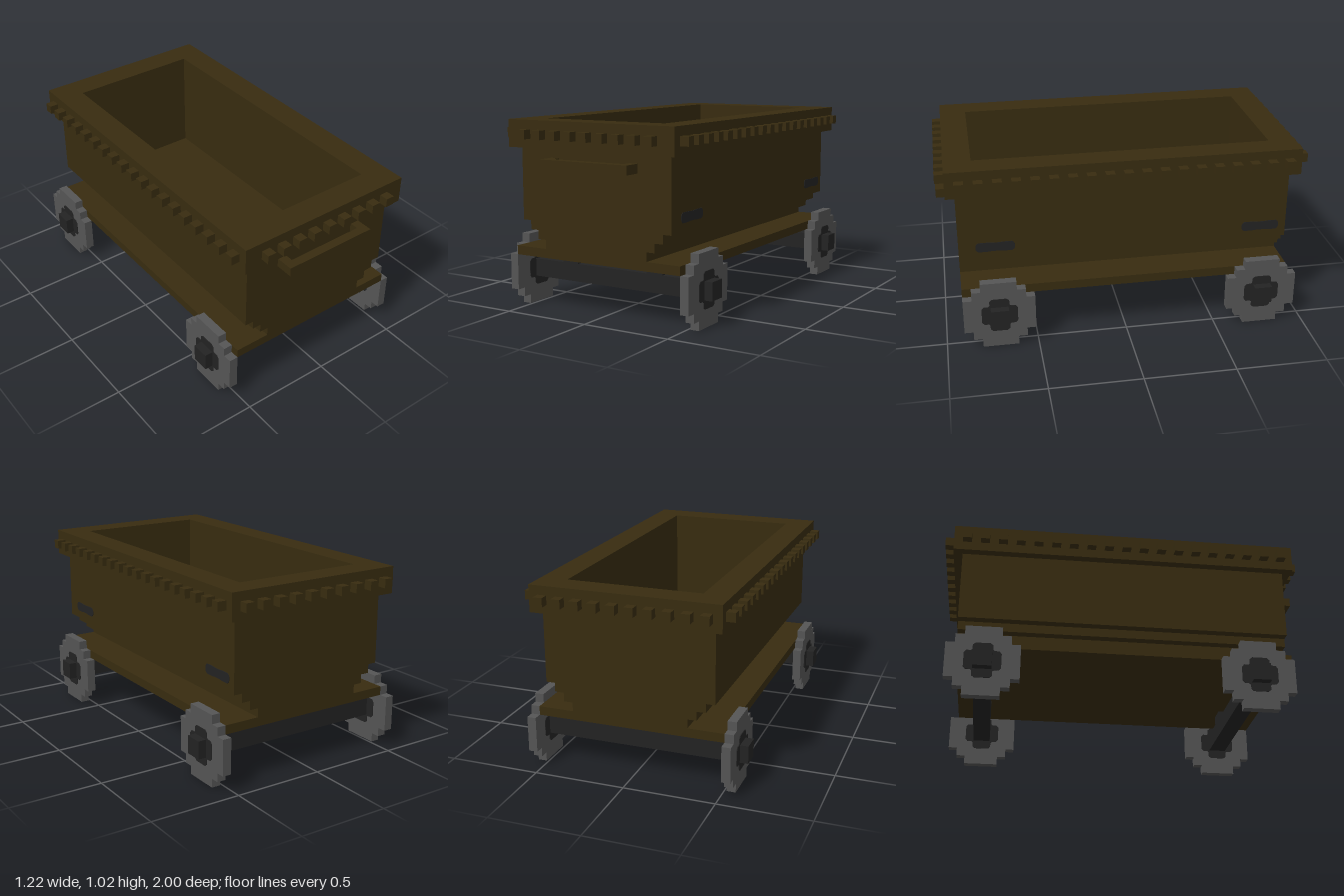
import * as THREE from 'three';

// One block of the grid: 41 blocks make the full length of 2 units
const U = 2 / 41;

export function createModel() {
  const model = new THREE.Group();
  model.name = 'mineCart';
  const mat = (name, color) => {
    const m = new THREE.MeshStandardMaterial({ color });
    m.name = name;
    return m;
  };
  const brown = mat('darkBrown', 0x382c10);
  const grey = mat('wheelGrey', 0x555555);
  const black = mat('axleBlack', 0x232323);

  const add = (parent, name, geometry, material) => {
    const mesh = new THREE.Mesh(geometry, material);
    mesh.name = name;
    parent.add(mesh);
    return mesh;
  };
  // Box given by centre and size, in blocks
  const box = (parent, name, material, x, y, z, w, h, d) => {
    const mesh = add(parent, name, new THREE.BoxGeometry(w * U, h * U, d * U), material);
    mesh.position.set(x * U, y * U, z * U);
    return mesh;
  };
  const points = (list) => list.map(([x, y]) => new THREE.Vector2(x * U, y * U));
  const rect = (hx, hy) => points([[-hx, -hy], [hx, -hy], [hx, hy], [-hx, hy]]);

  // Layer of the tub walls around the rectangular cavity
  const wallLayer = (name, hx, hz, y0, y1) => {
    const shape = new THREE.Shape(rect(hx, hz));
    shape.holes.push(new THREE.Path(rect(7.5, 16.5).reverse()));
    const geo = new THREE.ExtrudeGeometry(shape, { depth: (y1 - y0) * U, bevelEnabled: false });
    geo.rotateX(-Math.PI / 2).translate(0, y0 * U, 0);
    add(model, name, geo, brown);
  };

  // Tub: base plate, stepped bottom, walls and rim
  box(model, 'basePlate', brown, 0, 6.5, 0, 21, 1, 37);
  box(model, 'tubBottom', brown, 0, 7.5, 0, 13, 1, 37);
  box(model, 'tubFloor', brown, 0, 8.5, 0, 15, 1, 37);
  wallLayer('tubStep', 8.5, 18.5, 9, 10);
  wallLayer('tubWalls', 9.5, 18.5, 10, 18);
  wallLayer('rim', 10.5, 19.5, 18, 21);

  // Studs around the rim
  const studs = new THREE.Group();
  studs.name = 'rimStuds';
  model.add(studs);
  const stud = (x, z) => box(studs, 'stud', brown, x, 19.5, z, 1, 1, 1);
  for (let z = -18; z <= 18; z += 2) for (const s of [-1, 1]) stud(s * 11, z);
  for (let x = -8; x <= 8; x += 2) stud(x, 20);
  for (let x = -9; x <= 9; x += 2) stud(x, -20);

  // Front handle on two posts
  const handle = new THREE.Group();
  handle.name = 'handle';
  model.add(handle);
  box(handle, 'handleBar', brown, 0, 16.5, 20, 11, 1, 1);
  for (const s of [-1, 1]) box(handle, 'handlePost', brown, s * 5, 16.5, 19, 1, 1, 1);

  // Quarter outlines mirrored into full stepped discs
  const ring = (quarter) => {
    const flip = [...quarter].reverse();
    return new THREE.Shape(points([
      ...quarter,
      ...flip.map(([x, y]) => [-x, y]),
      ...quarter.map(([x, y]) => [-x, -y]),
      ...flip.map(([x, y]) => [x, -y]),
    ]));
  };
  // Plate extruded along x, centred on its thickness
  const sidePlate = (shape, depth) =>
    new THREE.ExtrudeGeometry(shape, { depth, bevelEnabled: false, curveSegments: 6 })
      .translate(0, 0, -depth / 2).rotateY(Math.PI / 2);
  const wheelGeo = sidePlate(ring([[4, 2], [3, 2], [3, 3], [2, 3], [2, 4]]), U);
  const hubGeo = sidePlate(
    ring([[2, 0.8], [1.75, 1.1], [1.25, 1.1], [1.1, 1.25], [1.1, 1.75], [0.8, 2]]), U + 0.008);
  const slotGeo = sidePlate(
    ring([[2.15, 0.2], [2.05, 0.4], [1.85, 0.55], [0.9, 0.55], [0.4, 0.5]]), 0.006);

  // Axles with wheels, hubs and supports
  for (const z of [14.5, -15.5]) {
    const axle = new THREE.Group();
    axle.name = z > 0 ? 'frontAxle' : 'backAxle';
    model.add(axle);
    box(axle, 'axleBeam', black, 0, 4, z, 25, 2, 2);
    for (const s of [-1, 1]) {
      box(axle, 'axleSupport', black, s * 5.5, 5.5, z, 2, 1, 2);
      add(axle, 'wheel', wheelGeo, grey).position.set(s * 11 * U, 4 * U, z * U);
      add(axle, 'hub', hubGeo, black).position.set(s * 11 * U, 4 * U, z * U);
    }
    // Dark slot on the left wall above the wheel
    add(model, 'wallSlot', slotGeo, black).position.set(9.5 * U, 11.5 * U, z * U);
  }
  return model;
}
